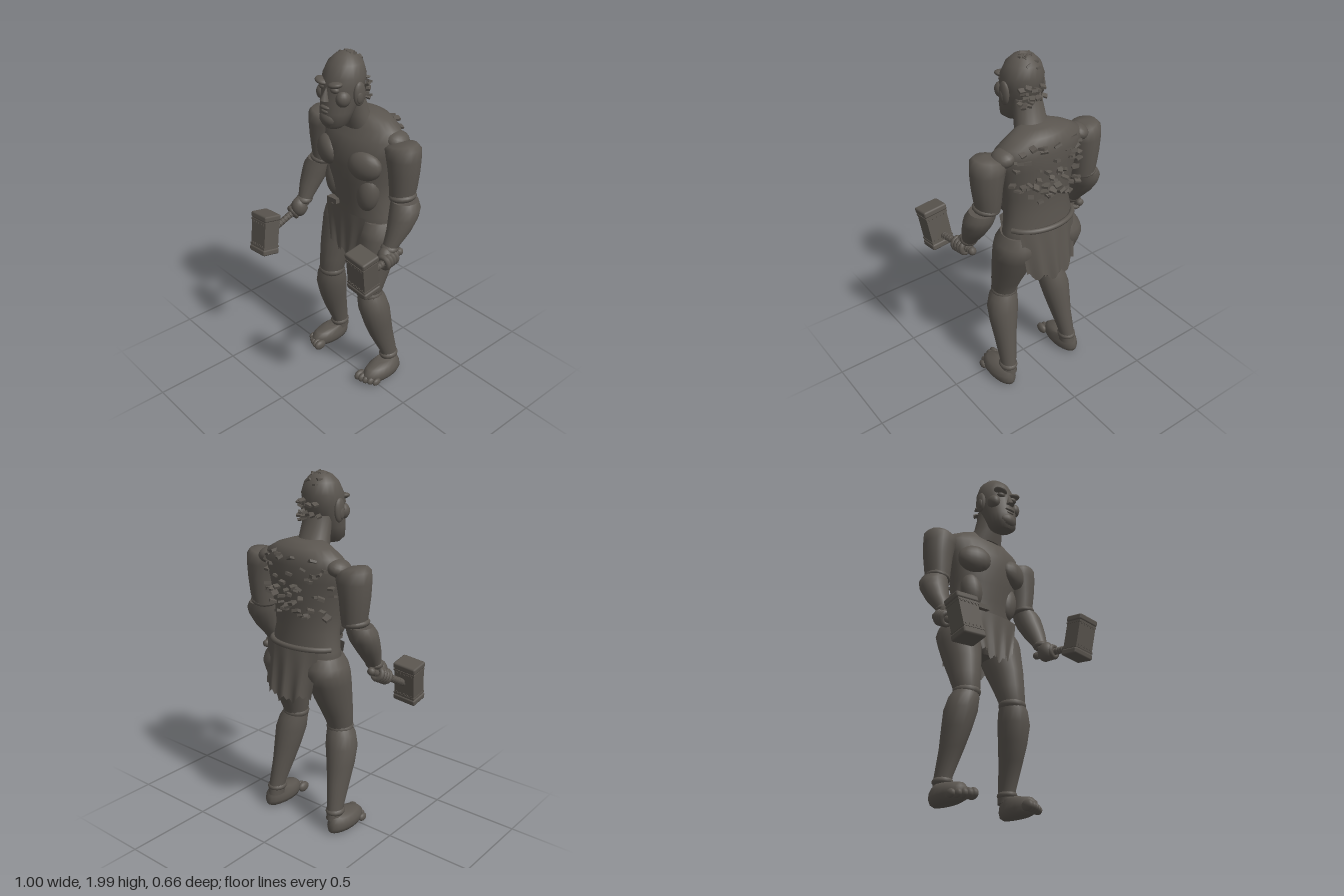
import * as THREE from 'three';
import { toCreasedNormals } from 'three/addons/utils/BufferGeometryUtils.js';
import { RoundedBoxGeometry } from 'three/addons/geometries/RoundedBoxGeometry.js';

const clay = new THREE.MeshStandardMaterial({ color: 0x5a554f, side: THREE.DoubleSide });
clay.name = 'dark clay';
const V = (x, y, z) => new THREE.Vector3(x, y, z);

let seed = 7;
const rand = (a, b) => {
  seed = (seed * 16807) % 2147483647;
  return a + (b - a) * seed / 2147483647;
};

export function createModel() {
  const root = new THREE.Group();
  root.name = 'ogre';

  const add = (name, geo, parent = root) => {
    const m = new THREE.Mesh(geo, clay);
    m.name = name;
    parent.add(m);
    return m;
  };
  const ball = (name, x, y, z, rx, ry, rz, rotZ = 0, rotY = 0) => {
    const m = add(name, new THREE.SphereGeometry(1, 16, 12));
    m.position.set(x, y, z);
    m.scale.set(rx, ry, rz);
    m.rotation.set(0, rotY, rotZ);
    return m;
  };
  const box = (name, x, y, z, w, h, d, parent = root) => {
    const m = add(name, new THREE.BoxGeometry(w, h, d), parent);
    m.position.set(x, y, z);
    return m;
  };

  // Skin stretched over ellipses [x, y, z, rx, rz, tilt], listed bottom to top
  const loft = (name, rings, s = 1, n = 20) => {
    const pos = [], idx = [];
    for (const [x, y, z, rx, rz, tilt = 0] of rings)
      for (let i = 0; i < n; i++) {
        const a = i / n * Math.PI * 2, dx = Math.sin(a) * rx;
        pos.push(s * x + dx, y + s * tilt * dx, z + Math.cos(a) * rz);
      }
    for (let r = 0; r < rings.length - 1; r++)
      for (let i = 0; i < n; i++) {
        const a = r * n + i, b = r * n + (i + 1) % n;
        idx.push(a, b, b + n, a, b + n, a + n);
      }
    const last = (rings.length - 1) * n;
    for (let i = 1; i < n - 1; i++) idx.push(0, i + 1, i, last, last + i, last + i + 1);
    const g = new THREE.BufferGeometry();
    g.setAttribute('position', new THREE.Float32BufferAttribute(pos, 3));
    g.setIndex(idx);
    return add(name, toCreasedNormals(g, 0.9));
  };

  // Torso and neck
  loft('torso', [
    [0, 0.87, -0.12, 0.07, 0.07], [0, 0.93, -0.13, 0.19, 0.115], [0, 1.0, -0.13, 0.23, 0.13],
    [0, 1.08, -0.128, 0.215, 0.128], [0, 1.18, -0.115, 0.197, 0.128], [0, 1.28, -0.108, 0.208, 0.138],
    [0, 1.38, -0.105, 0.228, 0.147], [0, 1.46, -0.11, 0.245, 0.15], [0, 1.54, -0.125, 0.265, 0.14],
    [0, 1.59, -0.14, 0.235, 0.118], [0, 1.63, -0.138, 0.165, 0.1], [0, 1.655, -0.12, 0.09, 0.07]], 1, 28);
  loft('neck', [[0, 1.58, -0.1, 0.115, 0.095], [0, 1.66, -0.055, 0.088, 0.075], [0, 1.77, -0.025, 0.08, 0.07]]);

  // Head and face
  loft('head', [
    [0, 1.612, 0.085, 0.045, 0.045], [0, 1.64, 0.075, 0.08, 0.073], [0, 1.7, 0.06, 0.092, 0.09],
    [0, 1.76, 0.035, 0.1, 0.105], [0, 1.82, 0.02, 0.11, 0.113], [0, 1.88, 0.01, 0.113, 0.112],
    [0, 1.94, 0.003, 0.09, 0.09], [0, 1.975, 0, 0.055, 0.055], [0, 1.99, 0, 0.02, 0.02]]);
  const nose = add('nose', new THREE.ConeGeometry(0.026, 0.075, 8));
  nose.position.set(0, 1.8, 0.135);
  nose.rotation.x = -0.2;
  ball('upperLip', 0, 1.728, 0.142, 0.034, 0.011, 0.014);
  ball('lowerLip', 0, 1.706, 0.14, 0.028, 0.011, 0.014);
  ball('chin', 0, 1.665, 0.115, 0.058, 0.047, 0.043);

  // Two mirrored halves: s = 1 is the model's left
  for (const s of [1, -1]) {
    const side = s > 0 ? 'left' : 'right';

    // Face features
    ball(side + 'Brow', s * 0.05, 1.852, 0.115, 0.042, 0.017, 0.036, s * 0.2);
    ball(side + 'Eye', s * 0.043, 1.825, 0.113, 0.028, 0.018, 0.022);
    ball(side + 'Cheek', s * 0.075, 1.78, 0.085, 0.036, 0.044, 0.042);
    ball(side + 'Ear', s * 0.113, 1.798, 0.01, 0.018, 0.064, 0.038);
    ball(side + 'EarLobe', s * 0.122, 1.785, 0.016, 0.012, 0.035, 0.022);

    // Chest and belly muscles
    ball(side + 'Pec', s * 0.146, 1.405, 0, 0.098, 0.082, 0.055, 0, s * 0.35);
    ball(side + 'Belly', s * 0.13, 1.225, -0.045, 0.066, 0.112, 0.06, s * -0.12, s * 0.3);
    ball(side + 'ShoulderCap', s * 0.235, 1.543, -0.145, 0.062, 0.046, 0.07, s * -0.3);

    // Arm, with a slanted shoulder end
    loft(side + 'UpperArm', [
      [0.315, 1.25, -0.115, 0.064, 0.07], [0.317, 1.31, -0.118, 0.072, 0.078],
      [0.318, 1.4, -0.118, 0.083, 0.085], [0.312, 1.48, -0.118, 0.094, 0.091],
      [0.305, 1.53, -0.118, 0.099, 0.09, 0.12], [0.304, 1.55, -0.118, 0.078, 0.074, 0.18],
      [0.304, 1.558, -0.118, 0.03, 0.03, 0.2]], s, 16);
    ball(side + 'Elbow', s * 0.323, 1.262, -0.112, 0.072, 0.032, 0.078, s * 0.15);
    loft(side + 'Forearm', [
      [0.357, 0.98, 0.02, 0.036, 0.036], [0.358, 1.03, -0.008, 0.045, 0.048],
      [0.364, 1.1, -0.05, 0.063, 0.068], [0.36, 1.17, -0.085, 0.079, 0.08],
      [0.355, 1.215, -0.1, 0.081, 0.082], [0.342, 1.25, -0.108, 0.072, 0.074]], s, 16);
    ball(side + 'Wrist', s * 0.358, 1.008, 0.01, 0.048, 0.028, 0.048);
    ball(side + 'Palm', s * 0.364, 0.965, 0.042, 0.046, 0.06, 0.05);

    // Leg
    loft(side + 'Thigh', [
      [0.163, 0.585, -0.035, 0.064, 0.066], [0.163, 0.63, -0.036, 0.074, 0.076],
      [0.16, 0.7, -0.055, 0.085, 0.09], [0.155, 0.8, -0.085, 0.098, 0.115],
      [0.15, 0.9, -0.115, 0.118, 0.127], [0.147, 0.96, -0.13, 0.122, 0.136],
      [0.142, 1.0, -0.13, 0.115, 0.13], [0.14, 1.05, -0.13, 0.085, 0.105]], s);
    ball(side + 'Knee', s * 0.163, 0.605, -0.033, 0.077, 0.042, 0.077);
    loft(side + 'Calf', [
      [0.222, 0.09, -0.15, 0.045, 0.055], [0.22, 0.16, -0.143, 0.045, 0.053],
      [0.206, 0.3, -0.097, 0.06, 0.075], [0.198, 0.4, -0.07, 0.076, 0.086],
      [0.188, 0.5, -0.05, 0.089, 0.092], [0.176, 0.57, -0.04, 0.082, 0.083],
      [0.165, 0.61, -0.035, 0.068, 0.068]], s);
    ball(side + 'Ankle', s * 0.222, 0.135, -0.145, 0.053, 0.03, 0.06);
    loft(side + 'Foot', [
      [0.236, 0.006, -0.08, 0.035, 0.105], [0.237, 0.02, -0.077, 0.058, 0.13],
      [0.238, 0.045, -0.075, 0.07, 0.138], [0.238, 0.075, -0.075, 0.068, 0.132],
      [0.234, 0.1, -0.085, 0.056, 0.115], [0.227, 0.115, -0.12, 0.042, 0.075]], s);
    for (let i = 0; i < 5; i++) {
      const r = 0.031 - i * 0.002;
      ball(side + 'Toe', s * (0.186 + i * 0.027), 0.046 - i * 0.002, 0.052 - i * i * 0.0022, r * 0.7, r, r * 1.3);
    }
  }

  // Hammers: head axis from a to b, handle from front to back
  const hammer = (side, a, b, front, back) => {
    const head = new THREE.Group();
    head.name = side + 'HammerHead';
    head.position.copy(a).lerp(b, 0.5);
    head.quaternion.setFromUnitVectors(V(0, 1, 0), b.clone().sub(a).normalize());
    root.add(head);
    box('hammerBlock', 0, 0, 0, 0.128, 0.21, 0.1, head);
    for (const e of [-1, 1]) {
      add('hammerCap', new RoundedBoxGeometry(0.142, 0.036, 0.112, 1, 0.01), head).position.y = e * 0.103;
      box('hammerRim', 0, e * 0.076, 0, 0.134, 0.01, 0.106, head);
      for (let i = -2; i <= 2; i++)
        for (const f of [-1, 1]) box('stud', i * 0.024, e * 0.066, f * 0.05, 0.009, 0.009, 0.008, head);
    }
    const handle = new THREE.Group();
    handle.name = side + 'HammerHandle';
    handle.position.copy(front);
    const dir = back.clone().sub(front), len = dir.length();
    handle.quaternion.setFromUnitVectors(V(0, 0, 1), dir.normalize());
    root.add(handle);
    const rod = add('rod', new THREE.CylinderGeometry(0.019, 0.019, len, 10), handle);
    rod.rotation.x = Math.PI / 2;
    rod.position.z = len / 2;
    for (let z = 0.05; z < len; z += 0.02)
      add('gripRing', new THREE.TorusGeometry(0.017, 0.0045, 6, 10), handle).position.z = z;
    add('pommel', new THREE.SphereGeometry(0.023, 10, 8), handle).position.z = len;
    // Fingers curled round the handle
    for (let i = 0; i < 4; i++)
      add('finger', new THREE.TorusGeometry(0.03, 0.016, 8, 14), handle).position.z = len - 0.125 + i * 0.023;
  };
  hammer('left', V(0.408, 0.878, 0.238), V(0.43, 1.11, 0.277), V(0.405, 0.945, 0.24), V(0.375, 0.97, -0.045));
  hammer('right', V(-0.408, 0.732, 0.28), V(-0.43, 0.968, 0.235), V(-0.415, 0.835, 0.24), V(-0.375, 0.985, -0.04));

  // Ragged cloth: a grid whose rows hang from the belt
  const cloth = (name, place) => {
    const g = new THREE.PlaneGeometry(1, 1, 24, 6), p = g.attributes.position;
    for (let i = 0; i < p.count; i++) {
      const v = place(p.getX(i) * 2, 0.5 - p.getY(i), i % 25);
      p.setXYZ(i, v.x, v.y, v.z);
    }
    g.computeVertexNormals();
    add(name, g);
  };
  const rag = c => [0, 0.012, 0.03, 0.02, 0.045, 0.03, 0.008][c % 7];
  cloth('frontCloth', (u, t, c) => V(
    0.005 * t + u * (0.162 - 0.052 * t), 1.09 - t * (0.285 - 0.05 * u * u - rag(c)),
    0.024 - 0.022 * u * u * (1 - t) + 0.008 * t * Math.sin(c * 0.8)));
  cloth('backCloth', (u, t, c) => V(
    0.012 + u * (0.18 - 0.02 * t), 1.1 - t * (0.31 - 0.04 * u * u - rag(c)),
    -0.275 + 0.05 * u * u - 0.043 * t + 0.011 * t * Math.sin(c * 0.9)));
  const sash = [];
  for (let i = 0; i <= 10; i++) {
    const a = Math.PI * (0.08 + 0.84 * i / 10);
    sash.push(V(Math.cos(a) * 0.205, 1.095 + 0.012 * Math.sin(a), -0.128 - Math.sin(a) * 0.15));
  }
  add('sash', new THREE.TubeGeometry(new THREE.CatmullRomCurve3(sash), 24, 0.015, 8));
  box('beltKnot', -0.093, 1.115, 0.005, 0.075, 0.028, 0.04).rotation.z = 0.06;

  // Hair tufts: small tilted chips on back, nape and crown
  const tuft = (name, x, y, z, size) => {
    const m = box(name, x, y, z, size * rand(0.7, 1.2), size * rand(0.3, 0.5), size * rand(0.8, 1.2));
    m.rotation.set(rand(-0.5, 0.5), rand(-0.8, 0.8), rand(-0.4, 0.4));
  };
  for (let i = 0; i < 52; i++) {
    const x = -0.225 + 0.45 * ((i * 0.618) % 1), y = i % 2 ? rand(1.28, 1.4) : rand(1.4, 1.6);
    tuft('backHair', x, y, -0.11 - 0.155 * Math.sqrt(1 - (x / 0.255) ** 2), 0.034);
  }
  for (let i = 0; i < 16; i++) {
    const x = rand(-0.085, 0.085);
    tuft('napeHair', x, rand(1.74, 1.85), -0.108 + x * x * 4, 0.03);
  }
  for (let i = 0; i < 12; i++) {
    const x = rand(-0.04, 0.04), z = rand(-0.09, 0.02);
    tuft('crownHair', x, 1.985 - (x * x + z * z) * 7, z, 0.026);
  }
  return root;
}
